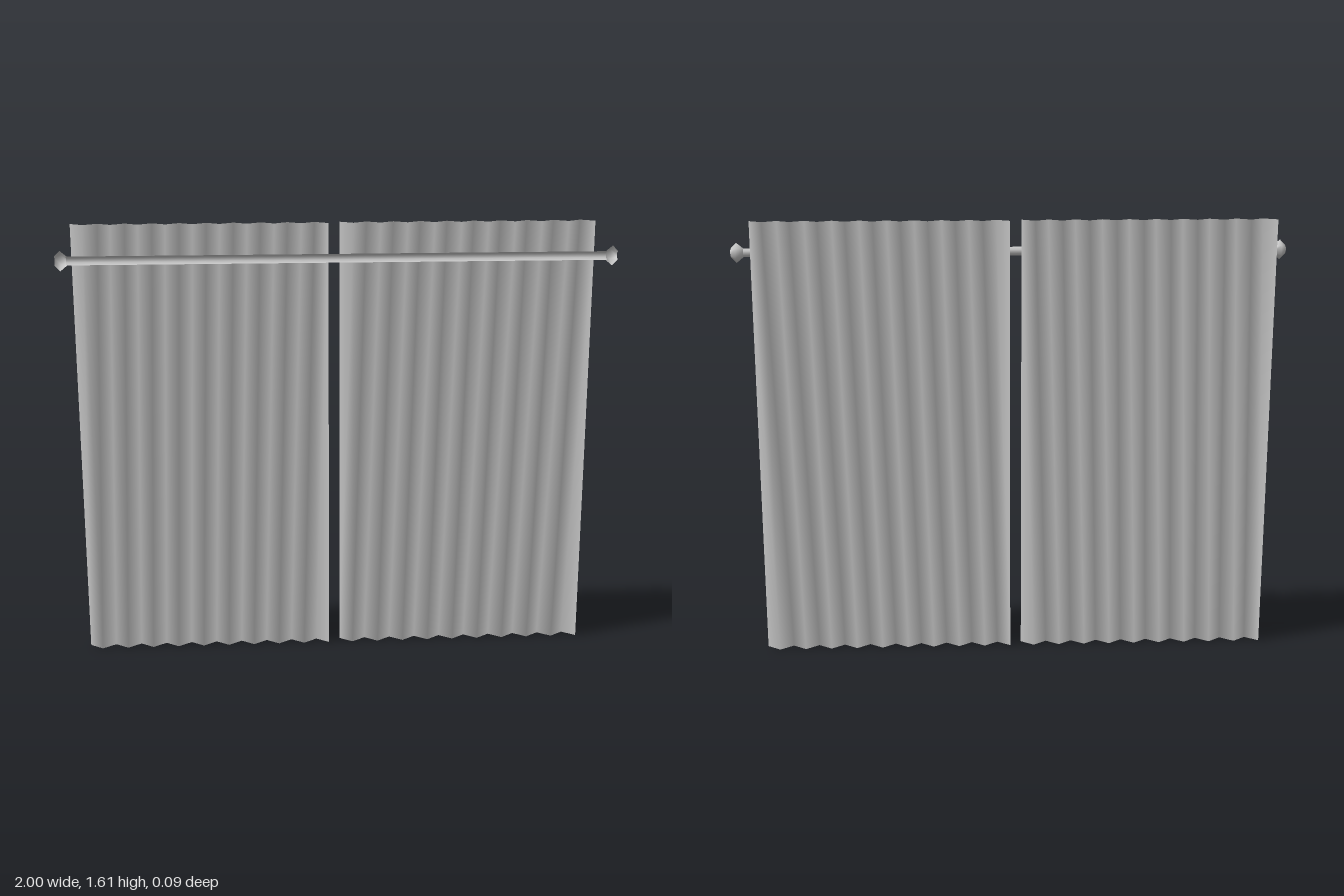
import * as THREE from 'three';

const material = new THREE.MeshStandardMaterial({ color: 0xcccccc, side: THREE.DoubleSide });

// Pleated sheet: a zigzag cross-section drawn from floor to top, softly shaded
function curtain(name, x0, x1, height) {
  const folds = 19, zBack = -0.044, zFront = -0.008;
  const geometry = new THREE.PlaneGeometry(x1 - x0, height, folds, 1);
  geometry.translate((x0 + x1) / 2, height / 2, 0);
  const pos = geometry.attributes.position;
  for (let i = 0; i < pos.count; i++) {
    const column = i % (folds + 1);
    pos.setZ(i, column % 2 ? zFront : zBack);
  }
  geometry.computeVertexNormals();
  const mesh = new THREE.Mesh(geometry, material);
  mesh.name = name;
  return mesh;
}

// Half-hexagon shell along x, open towards the front; points are [radius, x]
function halfShell(name, points) {
  const profile = points.map(([r, x]) => new THREE.Vector2(r, x));
  const geometry = new THREE.LatheGeometry(profile, 3, Math.PI / 2, Math.PI);
  geometry.rotateZ(-Math.PI / 2);
  const mesh = new THREE.Mesh(geometry, material);
  mesh.name = name;
  mesh.position.set(0, 1.492, 0.044);
  return mesh;
}

export function createModel() {
  const group = new THREE.Group();
  group.name = 'curtains';

  // Two curtain panels with a narrow gap
  group.add(curtain('rightCurtain', -0.95, -0.037, 1.61));
  group.add(curtain('leftCurtain', 0.005, 0.925, 1.61));

  // Rod and its pointed end knobs
  const r = 0.0155, R = 0.036;
  group.add(halfShell('rod', [[r, -0.96], [r, 0.96]]));
  group.add(halfShell('rightFinial', [[r, -1], [R, -0.98], [r, -0.955]]));
  group.add(halfShell('leftFinial', [[r, 0.955], [R, 0.98], [r, 1]]));
  return group;
}
